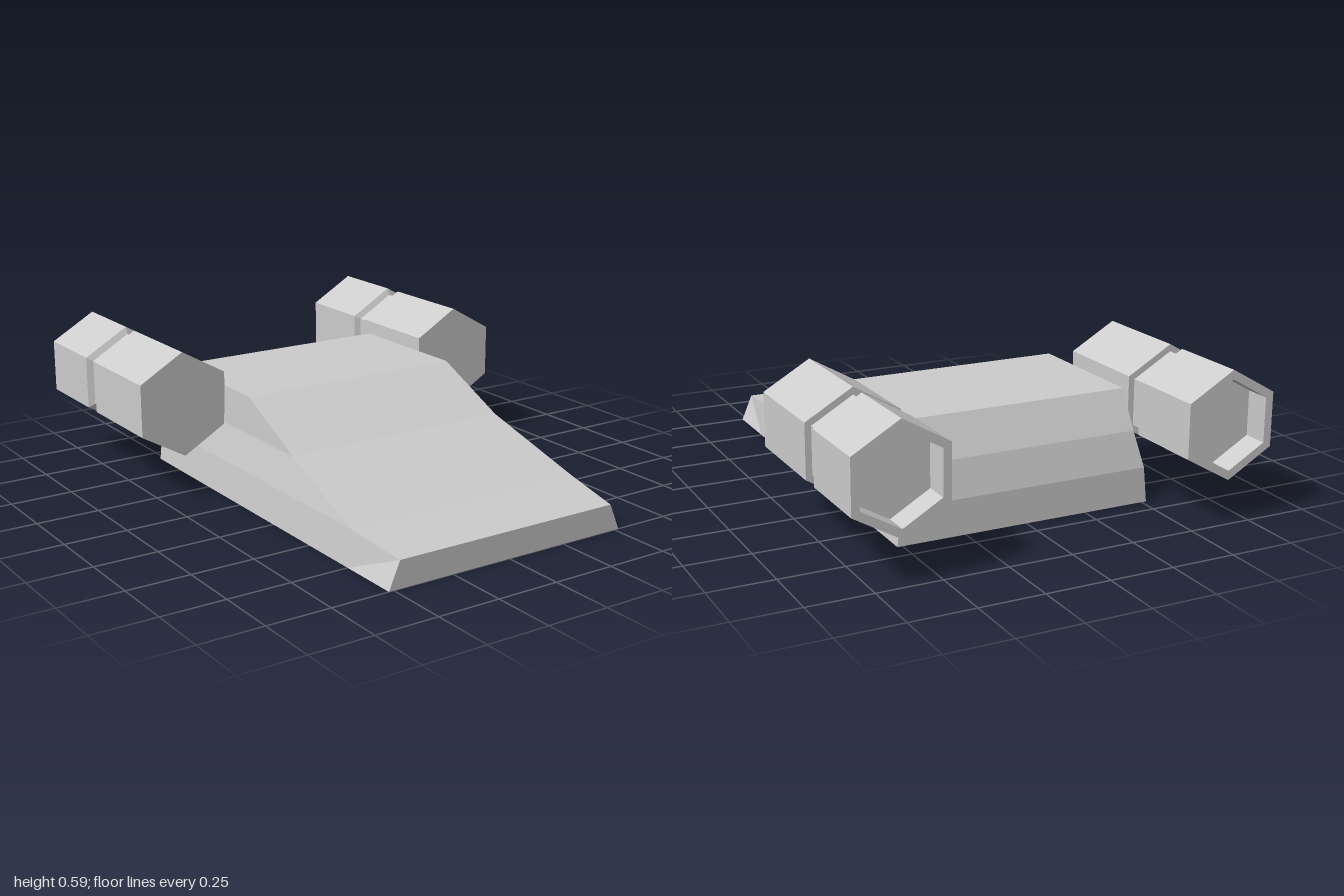
import * as THREE from 'three';

const grey = new THREE.MeshStandardMaterial({ color: 0xcccccc });
grey.name = 'hull grey';

// Hull: stacked rectangular levels, plus a wedge-shaped nose
function hullGeometry() {
  const pos = [];
  const tri = (...p) => p.forEach((v) => pos.push(...v));
  const quad = (a, b, c, d) => tri(a, b, c, a, c, d);
  const mirror = ([x, y, z]) => [-x, y, z];
  const ring = ([y, w, front, back]) => [[w, y, front], [w, y, back], [-w, y, back], [-w, y, front]];

  // height, half width, front z, back z
  const rings = [
    [0, 0.52, 0.75, -0.67],
    [0.14, 0.505, 0.75, -0.67],
    [0.28, 0.475, 0.32, -0.635],
    [0.428, 0.47, 0, -0.56],
  ].map(ring);

  for (let i = 0; i < 3; i++) {
    const lo = rings[i], hi = rings[i + 1];
    for (let k = 0; k < 4; k++) {
      if (i === 0 && k === 3) continue; // covered by the nose
      const n = (k + 1) % 4;
      quad(lo[k], lo[n], hi[n], hi[k]);
    }
  }
  quad(...rings[3]);

  // Nose cheeks, front lip, bonnet and underside
  const foot = [0.52, 0, 1], lip = [0.475, 0.105, 1];
  const base = rings[0], shoulder = rings[1];
  const cheeks = [[foot, base[0], lip], [base[0], shoulder[0], lip]];
  for (const [a, b, c] of cheeks) {
    tri(a, b, c);
    tri(mirror(a), mirror(c), mirror(b));
  }
  quad(mirror(foot), foot, lip, mirror(lip));
  quad(mirror(lip), lip, shoulder[0], shoulder[3]);
  quad(mirror(foot), base[2], base[1], foot);

  const g = new THREE.BufferGeometry();
  g.setAttribute('position', new THREE.Float32BufferAttribute(pos, 3));
  g.computeVertexNormals();
  return g;
}

// Engine: six-sided pod with a waist and a hollow exhaust at the back
function engineGeometry() {
  const profile = [
    [0, -0.9], [0.172, -0.9], [0.172, -1], [0.208, -1], [0.208, -0.677],
    [0.18, -0.665], [0.18, -0.6], [0.208, -0.6], [0.208, -0.19], [0, -0.19],
  ].map(([r, z]) => new THREE.Vector2(r, z));
  const g = new THREE.LatheGeometry(profile, 6).rotateX(Math.PI / 2).toNonIndexed();
  g.computeVertexNormals();
  return g;
}

export function createModel() {
  const model = new THREE.Group();
  model.name = 'wedgeCraft';

  const hull = new THREE.Mesh(hullGeometry(), grey);
  hull.name = 'hull';
  model.add(hull);

  const engine = engineGeometry();
  for (const [name, side] of [['leftEngine', 1], ['rightEngine', -1]]) {
    const pod = new THREE.Mesh(engine, grey);
    pod.name = name;
    pod.position.set(side * 0.65, 0.38, 0);
    model.add(pod);
  }
  return model;
}
